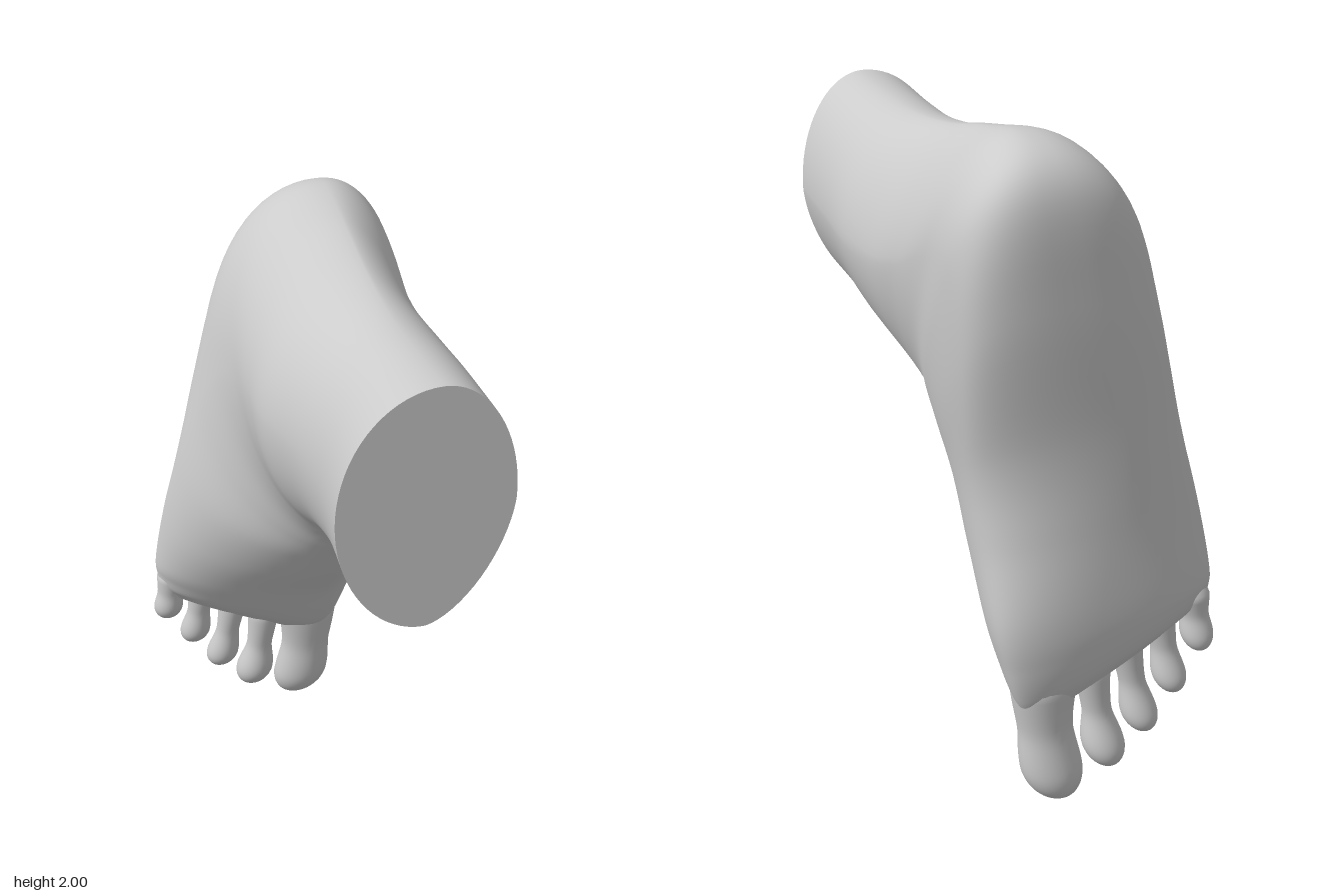
import * as THREE from 'three';

const { lerp, clamp, smoothstep } = THREE.MathUtils;
const SEG = 72;

// Skin a list of closed rings (each an array of [x, y, z]) with smooth normals.
function loft(rings) {
  const n = rings[0].length, index = [];
  for (let i = 0; i < rings.length - 1; i++) {
    for (let j = 0; j < n; j++) {
      const k = (j + 1) % n;
      const a = i * n + j, b = i * n + k, c = a + n, d = b + n;
      index.push(a, c, b, b, c, d);
    }
  }
  const geo = new THREE.BufferGeometry();
  geo.setAttribute('position', new THREE.Float32BufferAttribute(rings.flat(2), 3));
  geo.setIndex(index);
  geo.computeVertexNormals();
  return geo;
}

// Cross-sections fanning from the cut leg, round the heel, to the toe line:
// instep z, y | heel or sole z, y | outer x, inner x | instep x, sole x | outer edge depth | slant
const SECTIONS = [
  [0.65, 1.2, 0.65, 1.91, -0.105, 0.37, 0.14, 0.16, 0.5, 0],
  [0.42, 1.19, 0.42, 1.895, -0.09, 0.385, 0.14, 0.16, 0.5, 0],
  [0.22, 1.165, 0.22, 1.89, -0.11, 0.4, 0.14, 0.16, 0.5, 0],
  [0.1, 1.13, 0, 1.915, -0.15, 0.388, 0.13, 0.16, 0.5, 0],
  [0.05, 1.095, -0.22, 1.965, -0.157, 0.37, 0.13, 0.16, 0.5, 0],
  [0.01, 1.055, -0.45, 2.0, -0.167, 0.368, 0.13, 0.16, 0.5, 0],
  [-0.03, 1.01, -0.6, 1.9, -0.195, 0.382, 0.13, 0.16, 0.53, 0],
  [-0.07, 0.96, -0.633, 1.6, -0.24, 0.37, 0.12, 0.1, 0.6, 0],
  [-0.12, 0.89, -0.63, 1.2, -0.307, 0.325, 0.12, -0.03, 0.68, 0],
  [-0.2, 0.77, -0.635, 0.92, -0.355, 0.31, 0.12, -0.05, 0.74, 0],
  [-0.3, 0.63, -0.648, 0.66, -0.383, 0.3, 0.11, -0.03, 0.76, -0.06],
  [-0.375, 0.49, -0.645, 0.53, -0.382, 0.268, 0.11, -0.04, 0.73, -0.2],
  [-0.425, 0.41, -0.63, 0.43, -0.373, 0.235, 0.1, -0.05, 0.68, -0.32],
  [-0.475, 0.365, -0.605, 0.375, -0.345, 0.2, 0.07, -0.05, 0.6, -0.41],
];
// Squareness on the heel and sole side: pinched tendon, full heel, hollow arch, full ball
const BACK = [2, 1.95, 1.75, 1.6, 1.7, 2.1, 2.6, 2.7, 2.1, 2.1, 2.5, 2.5, 2.4, 2.2];
// Depth of the widest point on the inner side
const INNER = [0.52, 0.52, 0.52, 0.52, 0.55, 0.64, 0.71, 0.72, 0.6, 0.58, 0.64, 0.64, 0.62, 0.6];

// Smooth interpolation between section rows
function sectionAt(u) {
  const last = SECTIONS.length - 1;
  const i = Math.min(Math.floor(u), last - 1), t = u - i;
  const row = (k) => {
    const c = clamp(k, 0, last);
    return [...SECTIONS[c], BACK[c], INNER[c]];
  };
  const [p, q, r, s] = [row(i - 1), row(i), row(i + 1), row(i + 2)];
  return q.map((v, k) => v + 0.5 * t * (r[k] - p[k]
    + t * (2 * p[k] - 5 * v + 4 * r[k] - s[k] + t * (3 * (v - r[k]) + s[k] - p[k]))));
}

// One ring made of four rounded quarters: inner/outer side by instep/sole
function sectionRing(u) {
  const [fz, fy, bz, by, xL, xR, xF, xB, tL, slant, nBack, tR] = sectionAt(u);
  // the shin is flattened on its inner side, the instep slopes to the outer side
  const frontInner = lerp(1.6, 2, smoothstep(u, 1, 6));
  const frontOuter = lerp(1.95, 1.68, smoothstep(u, 3, 9));
  const ring = [];
  for (let j = 0; j < SEG; j++) {
    const a = (j / SEG) * Math.PI * 2, c = Math.cos(a), s = Math.sin(a);
    const inner = c > 0, back = s > 0;
    const n = back ? (inner ? nBack : lerp(nBack, 2, 0.5)) : (inner ? frontInner : frontOuter);
    const px = Math.pow(Math.abs(c), 2 / n), pt = Math.pow(Math.abs(s), 2 / n);
    const tS = inner ? tR : tL;
    const t = back ? tS + (1 - tS) * pt : tS * (1 - pt);
    // the middle line slides from the instep to the sole
    const mid = lerp(xF, xB, t);
    const x = mid + ((inner ? xR : xL) - mid) * px;
    ring.push([x, fy + (by - fy) * t + slant * (x - xF), fz + (bz - fz) * t]);
  }
  return ring;
}

function centreOf(ring) {
  return [0, 1, 2].map((k) => ring.reduce((sum, p) => sum + p[k], 0) / ring.length);
}

// Toe: a curved finger growing out of the foot, with a narrow neck, a round pad and a domed end
function toeGeometry([base, mid, tip, pad, neck, depth]) {
  const path = new THREE.QuadraticBezierCurve3(
    new THREE.Vector3(...base), new THREE.Vector3(...mid), new THREE.Vector3(...tip));
  const dome = 1 - (pad * 1.25) / path.getLength();
  const rings = [], rows = 36, sides = 28;
  for (let i = 0; i <= rows; i++) {
    const s = Math.sin((i / rows) * Math.PI / 2);
    const p = path.getPointAt(s);
    let r = lerp(neck, pad, smoothstep(s, dome - 0.28, dome));
    // swell at the knuckle, closed to a point inside the foot
    r += neck * 0.28 * (1 - smoothstep(s, 0.15, 0.6));
    r *= Math.sqrt(Math.min(1, s / 0.25));
    if (s > dome) r *= Math.sqrt(Math.max(0, 1 - ((s - dome) / (1 - dome)) ** 2));
    rings.push(Array.from({ length: sides }, (_, j) => {
      const a = (j / sides) * Math.PI * 2;
      return [p.x + r * Math.cos(a), p.y, p.z - r * depth * Math.sin(a)];
    }));
  }
  return loft(rings);
}

// base, bend, tip, pad radius, neck radius, depth ratio
const TOES = {
  bigToe: [[0.13, 0.55, -0.53], [0.15, 0.2, -0.525], [0.092, 0, -0.572], 0.095, 0.083, 0.84],
  secondToe: [[-0.01, 0.52, -0.54], [-0.03, 0.26, -0.53], [-0.066, 0.065, -0.578], 0.065, 0.044, 1],
  thirdToe: [[-0.11, 0.57, -0.55], [-0.145, 0.34, -0.54], [-0.178, 0.162, -0.59], 0.056, 0.04, 1],
  fourthToe: [[-0.215, 0.63, -0.565], [-0.245, 0.44, -0.55], [-0.268, 0.28, -0.598], 0.052, 0.039, 1],
  littleToe: [[-0.32, 0.66, -0.575], [-0.348, 0.5, -0.565], [-0.353, 0.403, -0.598], 0.05, 0.042, 1],
};

export function createModel() {
  const group = new THREE.Group();
  group.name = 'foot';
  const skin = new THREE.MeshStandardMaterial({ color: 0xcccccc });
  const add = (name, geo) => {
    const mesh = new THREE.Mesh(geo, skin);
    mesh.name = name;
    group.add(mesh);
  };

  // Leg, heel and foot as one skin, closed at the toe line
  const rings = [], steps = (SECTIONS.length - 1) * 8;
  for (let i = 0; i <= steps; i++) rings.push(sectionRing(i / 8));
  const end = centreOf(rings[steps]);
  // rounded web between the toes: shrink in depth while staying wide
  for (const k of [0.3, 0.6, 0.85, 1]) {
    const drop = 0.025 * Math.sqrt(1 - (1 - k) ** 2);
    rings.push(rings[steps].map(([x, y, z]) => [
      lerp(x, end[0], k * 0.15), y - drop, lerp(z, end[2], k)]));
  }
  add('legAndFoot', loft(rings));

  // Flat cut through the leg
  const cut = rings[0];
  add('legCut', loft([cut.map(() => centreOf(cut)), cut]));

  for (const [name, toe] of Object.entries(TOES)) add(name, toeGeometry(toe));
  return group;
}
